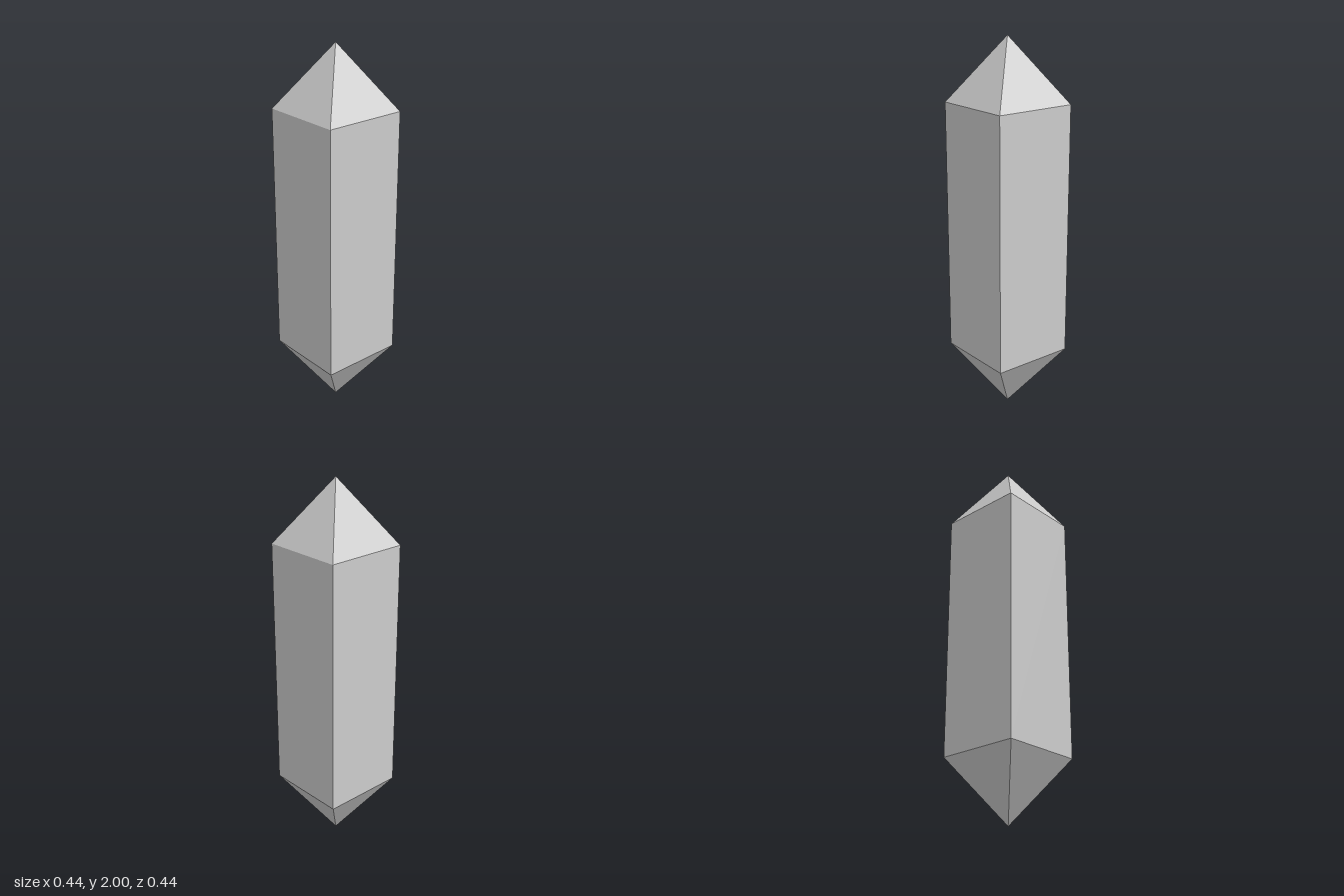
import * as THREE from 'three';

const HALF = 0.222; // half the width of the square shaft
const TIP = 0.333; // height of each pyramid
const SHAFT = 2 - 2 * TIP;

export function createModel() {
  const group = new THREE.Group();
  group.name = 'crystal';
  const material = new THREE.MeshStandardMaterial({ color: 0xcccccc, flatShading: true });

  // Open four-sided section, turned so its flat sides face the axes
  const addSection = (name, topHalf, bottomHalf, height, y) => {
    const geometry = new THREE.CylinderGeometry(
      topHalf * Math.SQRT2, bottomHalf * Math.SQRT2, height, 4, 1, true);
    geometry.rotateY(Math.PI / 4);
    const mesh = new THREE.Mesh(geometry, material);
    mesh.name = name;
    mesh.position.y = y;
    group.add(mesh);
  };

  addSection('bottomPoint', HALF, 0, TIP, TIP / 2);
  addSection('shaft', HALF, HALF, SHAFT, 1);
  addSection('topPoint', 0, HALF, TIP, 2 - TIP / 2);

  return group;
}
